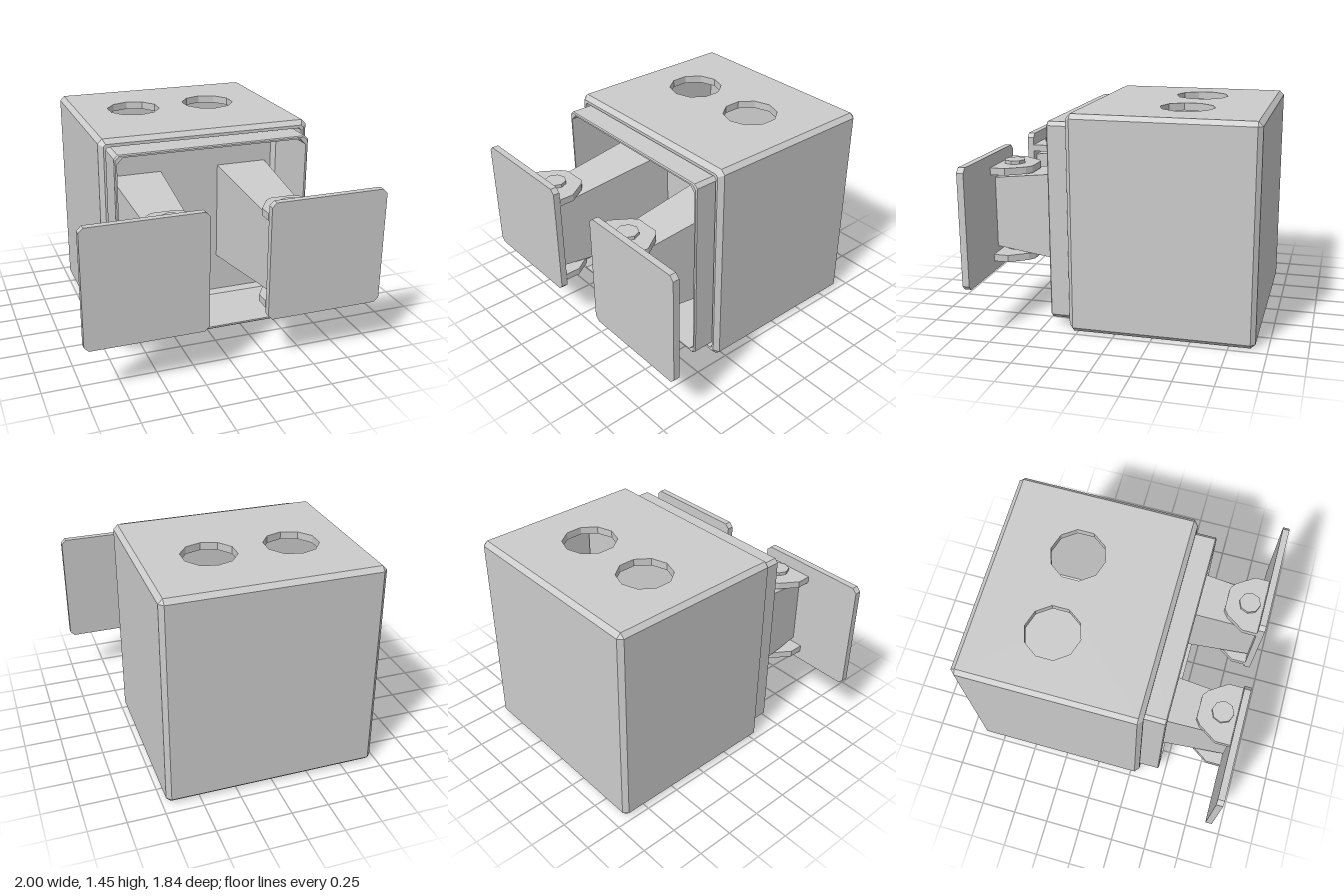
import * as THREE from 'three';

const MID_Y = 0.725;
const material = new THREE.MeshStandardMaterial({ color: 0xcccccc, flatShading: true });

function addMesh(parent, name, geometry, x = 0, y = 0, z = 0) {
  const mesh = new THREE.Mesh(geometry, material);
  mesh.name = name;
  mesh.position.set(x, y, z);
  parent.add(mesh);
  return mesh;
}

// Rectangle with cut corners, counter-clockwise seen from +z
function cutRect(w, h, c) {
  return [
    [w, c - h], [w, h - c], [w - c, h], [c - w, h],
    [-w, h - c], [-w, c - h], [c - w, -h], [w - c, -h],
  ];
}

// Skin a run of rings [halfWidth, halfHeight, cornerCut, z]; both ends are capped.
// openTop lists the bands whose flat top strip is left out.
function loft(rings, openTop = []) {
  const loops = rings.map(([w, h, c, z]) => cutRect(w, h, c).map(([x, y]) => [x, y, z]));
  const pos = [];
  const tri = (a, b, c) => pos.push(...a, ...b, ...c);
  for (let r = 0; r < loops.length - 1; r++) {
    const a = loops[r], b = loops[r + 1];
    for (let i = 0; i < 8; i++) {
      if (i === 2 && openTop.includes(r)) continue;
      const j = (i + 1) % 8;
      tri(a[i], a[j], b[j]);
      tri(a[i], b[j], b[i]);
    }
  }
  const first = loops[0], last = loops[loops.length - 1];
  for (let i = 1; i < 7; i++) {
    tri(first[0], first[i + 1], first[i]);
    tri(last[0], last[i], last[i + 1]);
  }
  const geometry = new THREE.BufferGeometry();
  geometry.setAttribute('position', new THREE.Float32BufferAttribute(pos, 3));
  geometry.computeVertexNormals();
  return geometry;
}

// Horizontal slab from [x, z] points, with optional holes, rising from y = 0
function slab(points, height, holes = []) {
  const toVec = ([x, z]) => new THREE.Vector2(x, -z);
  const shape = new THREE.Shape(points.map(toVec));
  holes.forEach((h) => shape.holes.push(new THREE.Path(h.map(toVec))));
  return new THREE.ExtrudeGeometry(shape, { depth: height, bevelEnabled: false }).rotateX(-Math.PI / 2);
}

function polygon(cx, cz, radius, sides) {
  return Array.from({ length: sides }, (_, i) => {
    const a = Math.PI / 2 + (i / sides) * Math.PI * 2;
    return [cx + radius * Math.cos(a), cz + radius * Math.sin(a)];
  });
}

function createArm(side) {
  const arm = new THREE.Group();
  arm.name = side > 0 ? 'leftArm' : 'rightArm';

  // Tapered beam, fixed to the back of the sliding tray
  addMesh(arm, 'beam', loft([
    [0.18, 0.35, 0, -0.05],
    [0.133, 0.24, 0, 0.87],
  ]), side * 0.388, 0.73);

  // Square plate with cut corners
  addMesh(arm, 'plate', loft([
    [0.4, 0.4, 0.03, 0.87],
    [0.4, 0.4, 0.03, 0.915],
  ]), side * 0.6, 0.735);

  // Hinge brackets above and below the beam
  const outline = [
    [-0.2, 0.87], [0.2, 0.87], [0.2, 0.77], [0.12, 0.65],
    [0.08, 0.62], [-0.08, 0.62], [-0.12, 0.65], [-0.2, 0.77],
  ];
  for (const y of [0.405, 1.005]) {
    addMesh(arm, 'hingeBracket', slab(outline, 0.047), side * 0.397, y);
  }

  // Hinge pin
  addMesh(arm, 'hingePin', new THREE.CylinderGeometry(0.073, 0.073, 0.695, 8), side * 0.397, 0.7275, 0.775);
  return arm;
}

export function createModel() {
  const model = new THREE.Group();
  model.name = 'boxWithArms';

  // Hollow outer case, bevelled on every edge, open at the front
  const H = MID_Y;
  addMesh(model, 'case', loft([
    [0.69, H - 0.03, 0, -0.92],
    [0.72, H, 0.03, -0.89],
    [0.72, H, 0.03, 0.28],
    [0.69, H - 0.03, 0.015, 0.31],
    [0.675, 0.675, 0.015, 0.31],
    [0.675, 0.675, 0.015, 0.28],
    [0.675, 0.675, 0.015, -0.87],
  ], [1, 5]), 0, MID_Y);

  // Top panel with two ten-sided openings
  addMesh(model, 'topPanel', slab(
    [[-0.69, -0.89], [-0.69, 0.28], [0.69, 0.28], [0.69, -0.89]],
    0.05,
    [polygon(-0.3, -0.38, 0.183, 10), polygon(0.255, -0.38, 0.183, 10)],
  ), 0, 1.4);

  // Sliding tray inside the case, open at the front
  addMesh(model, 'tray', loft([
    [0.66, 0.662, 0.025, -0.09],
    [0.66, 0.662, 0.025, 0.443],
    [0.653, 0.655, 0.025, 0.45],
    [0.642, 0.644, 0.04, 0.45],
    [0.642, 0.644, 0.04, -0.01],
    [0.615, 0.617, 0.025, -0.04],
  ]), 0, MID_Y);

  model.add(createArm(1), createArm(-1));
  return model;
}
